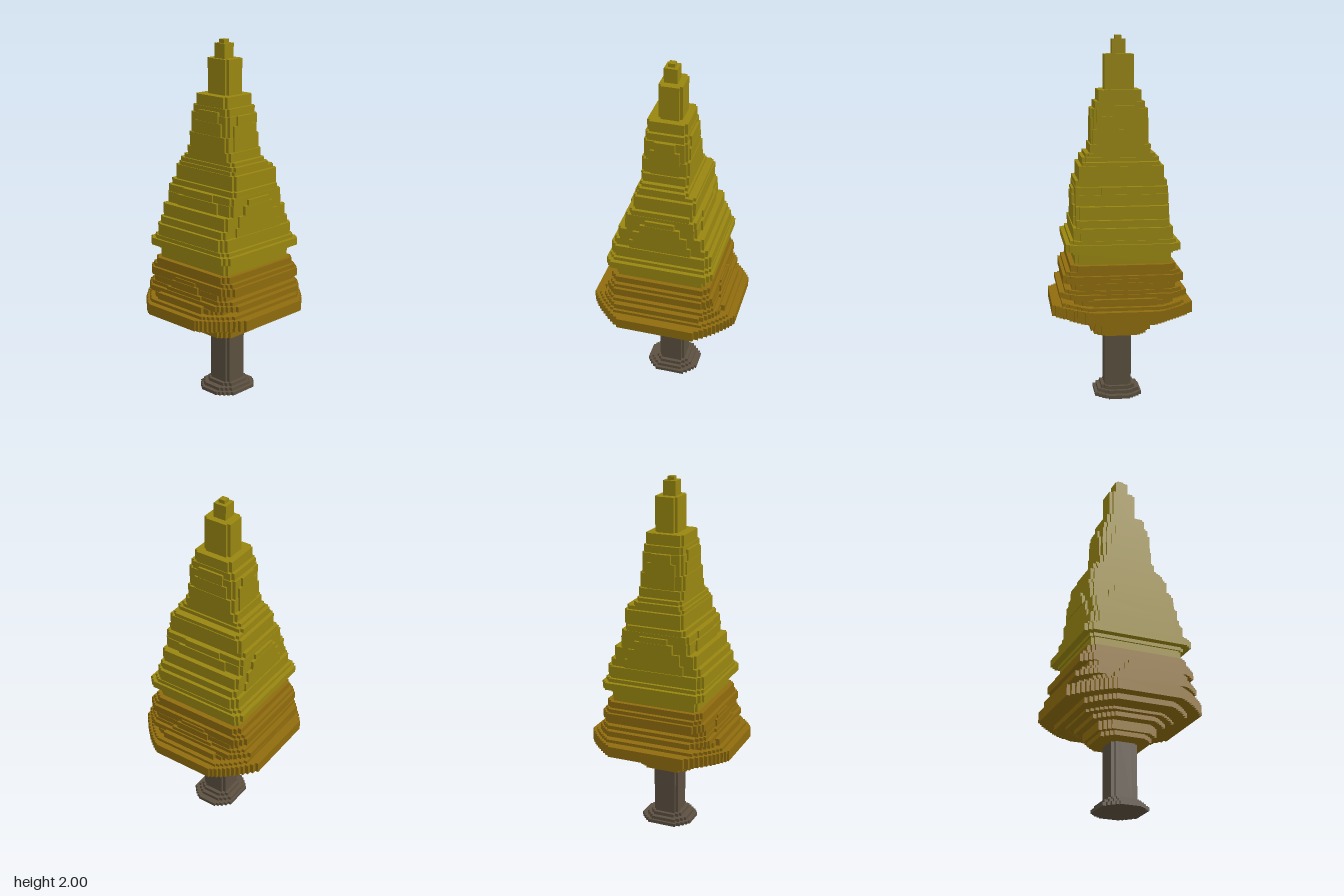
import * as THREE from 'three';

const V = 0.0185; // block size of the stepped edges

const mat = (name, color) => {
  const m = new THREE.MeshStandardMaterial({ color });
  m.name = name;
  return m;
};

// Flat slab whose corners are cut into small block steps
function slab(name, material, y0, y1, hx, hz, cut, ox = 0, oz = 0) {
  const n = Math.max(1, Math.round(cut / V));
  const p = 1.2;
  const quarter = [];
  for (let i = 0; i < n; i++) {
    const x = hx - cut + cut * Math.pow(1 - Math.pow(i / n, p), 1 / p);
    quarter.push([x, hz - cut + (cut * i) / n], [x, hz - cut + (cut * (i + 1)) / n]);
  }
  quarter.push([hx - cut, hz]);
  const back = [...quarter].reverse();
  const outline = [
    ...quarter,
    ...back.map(([x, z]) => [-x, z]),
    ...quarter.map(([x, z]) => [-x, -z]),
    ...back.map(([x, z]) => [x, -z]),
  ];
  const shape = new THREE.Shape(outline.map(([x, z]) => new THREE.Vector2(x, z)));
  const geo = new THREE.ExtrudeGeometry(shape, { depth: y1 - y0, bevelEnabled: false });
  geo.rotateX(-Math.PI / 2);
  const mesh = new THREE.Mesh(geo, material);
  mesh.name = name;
  mesh.position.set(ox, y0, oz);
  return mesh;
}

// Stack of slabs: rows are [bottom, halfX, halfZ, cornerCut, offsetX, offsetZ]
function stack(groupName, partName, material, rows, top) {
  const g = new THREE.Group();
  g.name = groupName;
  rows.forEach(([y, hx, hz, cut, ox, oz], i) => {
    const y1 = i + 1 < rows.length ? rows[i + 1][0] : top;
    g.add(slab(partName, material, y, y1, hx, hz, cut, ox, oz));
  });
  return g;
}

// Arched bulge showing on two opposite faces: rows are [bottom, top, halfWidth, reach]
function bulge(name, material, rows, alongX) {
  const g = new THREE.Group();
  g.name = name;
  for (const [y0, y1, w, d] of rows) {
    const geo = new THREE.BoxGeometry(2 * (alongX ? d : w), y1 - y0, 2 * (alongX ? w : d));
    const mesh = new THREE.Mesh(geo, material);
    mesh.name = name + 'Step';
    mesh.position.y = (y0 + y1) / 2;
    g.add(mesh);
  }
  return g;
}

export function createModel() {
  const tree = new THREE.Group();
  tree.name = 'tree';
  const bark = mat('bark', 0x5c5040);
  const amber = mat('amberFoliage', 0x8f6c0d);
  const yellow = mat('yellowFoliage', 0x998710);

  // Trunk with flared roots
  tree.add(stack('trunk', 'trunkSlab', bark, [
    [0, 0.148, 0.13, 0.09, 0.017, 0.01],
    [0.019, 0.12, 0.115, 0.075, 0.012, 0.008],
    [0.037, 0.093, 0.093, 0.056, 0.017, 0.01],
    [0.056, 0.073, 0.074, 0.037, 0.017, 0.01],
  ], 0.4));

  // Lower foliage: narrow underside, wide skirt, ragged ledges
  tree.add(stack('lowerFoliage', 'lowerLayer', amber, [
    [0.36, 0.145, 0.145, 0.075],
    [0.385, 0.165, 0.165, 0.075],
    [0.435, 0.22, 0.205, 0.11],
    [0.46, 0.25, 0.25, 0.13],
    [0.475, 0.35, 0.29, 0.15],
    [0.505, 0.41, 0.383, 0.22],
    [0.565, 0.375, 0.33, 0.15],
    [0.582, 0.33, 0.265, 0.075],
    [0.61, 0.325, 0.345, 0.11],
    [0.64, 0.305, 0.315, 0.075],
    [0.66, 0.3, 0.28, 0.056],
    [0.692, 0.298, 0.325, 0.075],
    [0.735, 0.28, 0.308, 0.056],
    [0.755, 0.28, 0.285, 0.056],
  ], 0.79));
  tree.add(bulge('lowerSideBulge', amber, [
    [0.58, 0.62, 0.17, 0.35],
    [0.62, 0.66, 0.13, 0.318],
    [0.66, 0.7, 0.1, 0.31],
    [0.7, 0.72, 0.075, 0.305],
  ], true));

  // Upper foliage tapering to the tip
  tree.add(stack('upperFoliage', 'upperLayer', yellow, [
    [0.79, 0.25, 0.26, 0.037],
    [0.845, 0.26, 0.27, 0.037],
    [0.865, 0.298, 0.308, 0.056],
    [0.905, 0.285, 0.285, 0.056],
    [0.925, 0.28, 0.268, 0.056],
    [0.99, 0.26, 0.25, 0.037],
    [1.03, 0.238, 0.25, 0.037],
    [1.1, 0.2, 0.25, 0.037],
    [1.16, 0.195, 0.25, 0.037],
    [1.2, 0.172, 0.248, 0.037],
    [1.23, 0.17, 0.23, 0.037, 0.015],
    [1.31, 0.165, 0.21, 0.037, 0.015],
    [1.33, 0.14, 0.21, 0.037],
    [1.352, 0.13, 0.19, 0.037],
    [1.372, 0.13, 0.165, 0.037],
    [1.42, 0.13, 0.148, 0.037],
    [1.5, 0.118, 0.145, 0.037],
    [1.61, 0.112, 0.135, 0.037],
    [1.65, 0.108, 0.116, 0.037],
    [1.71, 0.064, 0.08, 0.037, 0.007],
    [1.9, 0.036, 0.037, 0.0185],
    [1.98, 0.0185, 0.0185, 0.009],
  ], 2));
  tree.add(bulge('frontBackBulge', yellow, [
    [0.98, 1.04, 0.17, 0.262],
    [1.04, 1.1, 0.15, 0.262],
    [1.1, 1.15, 0.11, 0.266],
    [1.15, 1.18, 0.08, 0.264],
    [1.42, 1.56, 0.08, 0.157],
    [1.56, 1.61, 0.055, 0.157],
  ], false));
  tree.add(bulge('sideBulge', yellow, [
    [1.1, 1.16, 0.15, 0.21],
    [1.16, 1.2, 0.11, 0.203],
    [1.5, 1.57, 0.1, 0.127],
    [1.57, 1.63, 0.075, 0.125],
  ], true));
  return tree;
}
